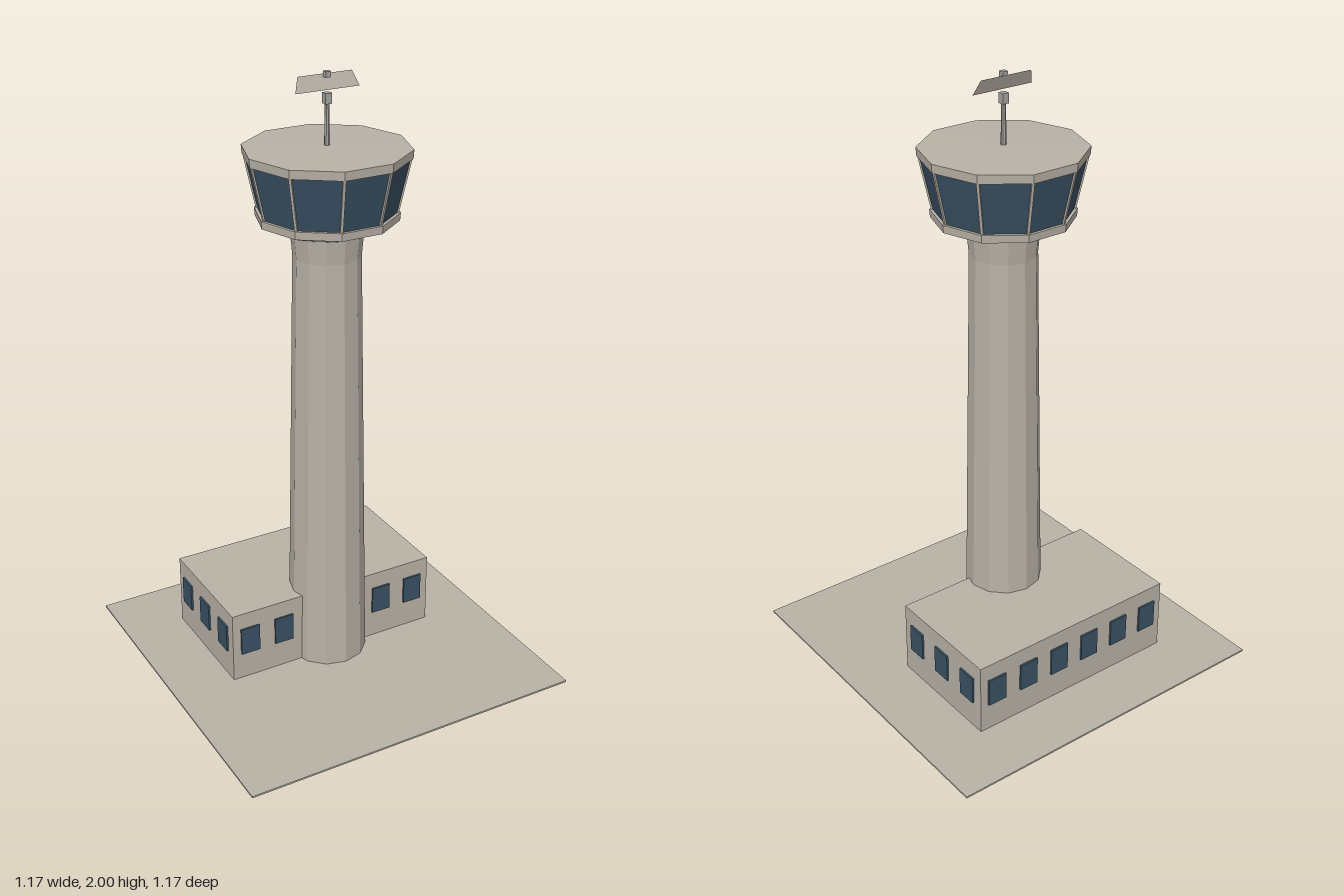
import * as THREE from 'three';

const mat = (name, color, extra = {}) =>
  Object.assign(new THREE.MeshStandardMaterial({ color, flatShading: true, ...extra }), { name });

export function createModel() {
  const concrete = mat('concrete', 0xb8b1a6, { side: THREE.DoubleSide });
  const glass = mat('glass', 0x3a5163);
  const metal = mat('metal', 0xa5a39e);

  const model = new THREE.Group();
  model.name = 'controlTower';

  const add = (name, geometry, material, x = 0, y = 0, z = 0, parent = model) => {
    const mesh = new THREE.Mesh(geometry, material);
    mesh.name = name;
    mesh.position.set(x, y, z);
    parent.add(mesh);
    return mesh;
  };
  const box = (name, w, h, d, material, x, y, z, parent) =>
    add(name, new THREE.BoxGeometry(w, h, d), material, x, y, z, parent);
  // Ring of flat sides between two heights
  const frustum = (name, r0, y0, r1, y1, sides, material, turn = 0) => {
    const mesh = add(name, new THREE.CylinderGeometry(r1, r0, y1 - y0, sides), material, 0, (y0 + y1) / 2, 0);
    mesh.rotation.y = turn;
    return mesh;
  };

  // Ground slab
  box('ground', 1.172, 0.006, 1.172, concrete, 0, 0.003, 0);

  // Base building with window plates
  const W = 0.378, zBack = -0.378, zFront = 0.04, H = 0.254;
  box('baseBuilding', 2 * W, H - 0.004, zFront - zBack, concrete, 0, (H + 0.004) / 2, (zFront + zBack) / 2);
  const windows = new THREE.Group();
  windows.name = 'buildingWindows';
  model.add(windows);
  const winW = 0.068, winH = 0.096, winY = 0.149, t = 0.009, out = 0.002;
  for (let i = 0; i < 6; i++) {
    const x = -0.315 + i * 0.126;
    box('backWindow', winW, winH, t, glass, x, winY, zBack - out, windows);
    if (Math.abs(x) > 0.1) box('frontWindow', winW, winH, t, glass, x, winY, zFront + out, windows);
  }
  for (const side of [-1, 1]) {
    for (const z of [-0.308, -0.169, -0.03]) {
      box('sideWindow', t, winH, winW, glass, side * (W + out), winY, z, windows);
    }
  }

  // Tapered shaft with a flared collar
  frustum('shaft', 0.132, 0.004, 0.107, 1.435, 12, concrete);
  frustum('shaftCollar', 0.107, 1.435, 0.114, 1.515, 12, concrete);

  // Ten-sided cab
  const turn = Math.PI / 10;
  frustum('cabUnderside', 0.115, 1.512, 0.222, 1.552, 10, concrete, turn);
  frustum('cabSill', 0.222, 1.552, 0.224, 1.577, 10, concrete, turn);
  const r0 = 0.214, r1 = 0.251, y0 = 1.577, y1 = 1.745;
  frustum('cabGlass', r0, y0, r1, y1, 10, glass, turn);
  frustum('roofBand', 0.258, y1, 0.26, 1.773, 10, concrete, turn);
  frustum('roofTop', 0.26, 1.773, 0.01, 1.779, 10, concrete, turn);

  // Leaning mullions at the cab corners
  const tilt = Math.atan2(r1 - r0, y1 - y0);
  for (let i = 0; i < 10; i++) {
    const corner = new THREE.Group();
    corner.name = 'mullion';
    corner.rotation.y = turn + i * Math.PI / 5;
    model.add(corner);
    box('mullionBar', 0.009, Math.hypot(r1 - r0, y1 - y0), 0.008, concrete,
      0, (y0 + y1) / 2, (r0 + r1) / 2, corner).rotation.x = tilt;
  }

  // Mast and radar
  frustum('mast', 0.009, 1.775, 0.007, 1.91, 8, metal);
  box('radarMotor', 0.022, 0.032, 0.022, metal, 0, 1.92, 0);
  const dish = new THREE.BufferGeometry();
  dish.setAttribute('position', new THREE.Float32BufferAttribute([
    -0.108, 1.945, 0.005, 0.108, 1.945, 0.005, 0.091, 1.99, -0.013, -0.091, 1.99, -0.013], 3));
  dish.setIndex([0, 1, 2, 0, 2, 3]);
  dish.computeVertexNormals();
  add('radarPanel', dish, concrete);
  box('beacon', 0.018, 0.018, 0.018, metal, 0, 1.991, 0);

  return model;
}
